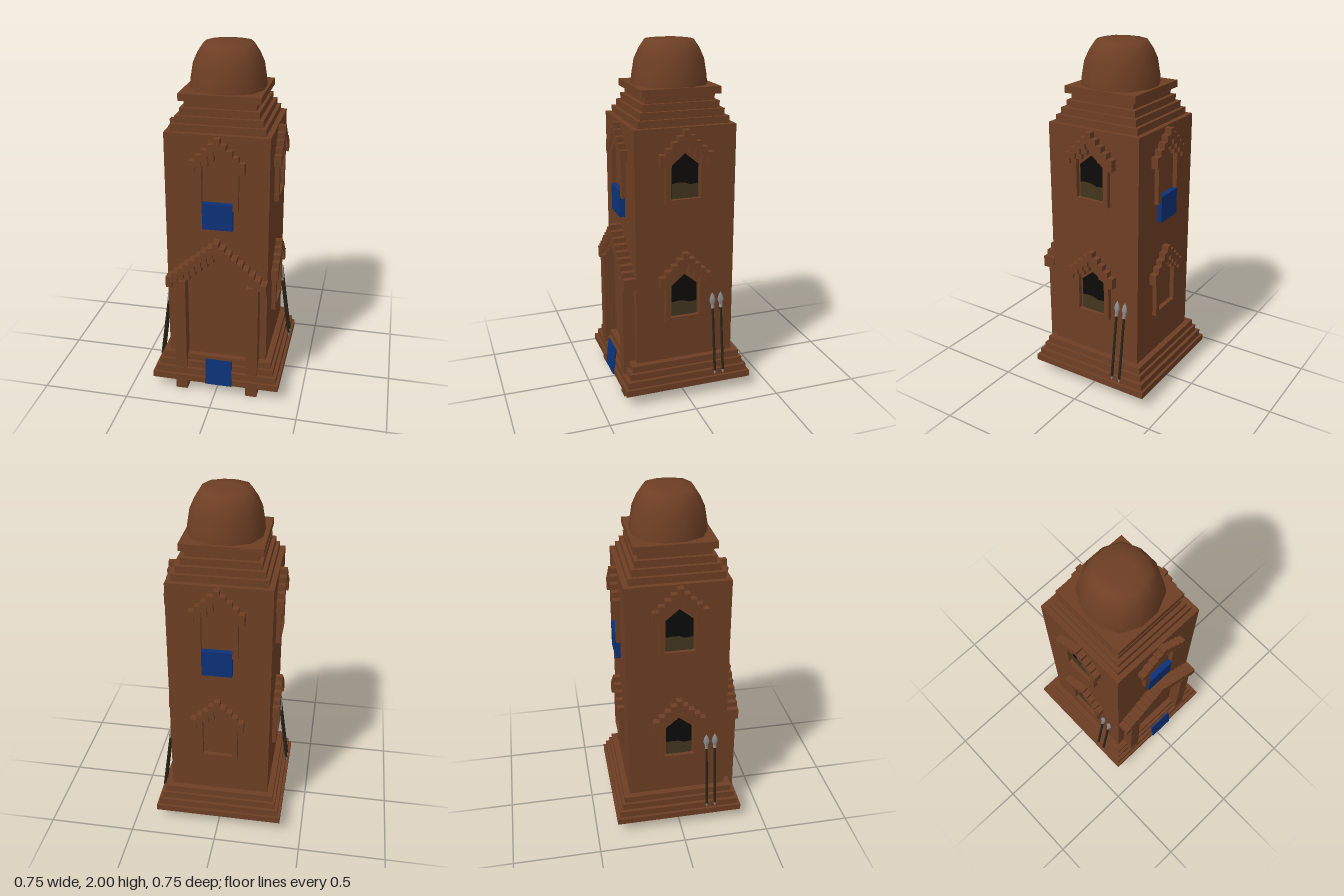
import * as THREE from 'three';

const mat = (name, color) => {
  const m = new THREE.MeshStandardMaterial({ color });
  m.name = name;
  return m;
};

export function createModel() {
  const clay = mat('clay', 0x6e3f24);
  const blue = mat('blue cloth', 0x0d3278);
  const dark = mat('dark opening', 0x0d0c0b);
  const olive = mat('olive', 0x43361f);
  const steel = mat('steel', 0x8c8c8c);
  const wood = mat('dark wood', 0x2a2418);

  const root = new THREE.Group();
  root.name = 'tower';
  const CZ = -0.006; // centre of the tower in z

  const mesh = (parent, name, geo, m) => {
    const o = new THREE.Mesh(geo, m);
    o.name = name;
    parent.add(o);
    return o;
  };
  // box given by its limits
  const box = (parent, name, m, x0, x1, y0, y1, z0, z1) => {
    const o = mesh(parent, name, new THREE.BoxGeometry(x1 - x0, y1 - y0, z1 - z0), m);
    o.position.set((x0 + x1) / 2, (y0 + y1) / 2, (z0 + z1) / 2);
    return o;
  };
  const slab = (name, half, y0, y1) =>
    box(root, name, clay, -half, half, y0, y1, CZ - half, CZ + half);
  const group = (name) => {
    const g = new THREE.Group();
    g.name = name;
    root.add(g);
    return g;
  };
  // stepped gable made of narrow blocks
  const gable = (parent, name, n, top, step, h, depth, z0 = -0.005) => {
    const w = 0.0335;
    for (let i = -n; i <= n; i++) {
      const y = top - step * Math.abs(i);
      box(parent, name, clay, (i - 0.5) * w, (i + 0.5) * w, y - h, y, z0, depth);
    }
  };

  // hollow plinth rim with stepped base above it
  const R = 0.373, T = 0.018;
  for (const s of [-1, 1]) {
    const a = s * R, b = s * (R - T);
    box(root, 'plinthRim', clay, Math.min(a, b), Math.max(a, b), 0.07, 0.107, CZ - R, CZ + R);
    box(root, 'plinthRim', clay, -R + T, R - T, 0.07, 0.107, CZ + Math.min(a, b), CZ + Math.max(a, b));
  }
  [0.357, 0.337, 0.321].forEach((half, i) =>
    slab('baseStep', half, 0.107 + i * 0.039, 0.146 + i * 0.039));

  // main shaft, roof tiers and cornice
  slab('towerBody', 0.286, 0.2, 1.567);
  [0.257, 0.237, 0.216, 0.195, 0.222].forEach((half, i) =>
    slab(i < 4 ? 'roofTier' : 'cornice', half, 1.567 + i * 0.0386, 1.567 + (i + 1) * 0.0386));

  // twelve sided dome, a little squared towards the corners
  const profile = [[0.21, 1.76], [0.207, 1.8], [0.192, 1.89], [0.167, 1.945], [0.135, 1.993], [0.07, 2], [0, 2]];
  const domeGeo = new THREE.LatheGeometry(profile.map(([r, y]) => new THREE.Vector2(r, y)), 12);
  domeGeo.rotateY(Math.PI / 12);
  const p = domeGeo.attributes.position;
  for (let i = 0; i < p.count; i++) {
    const x = p.getX(i), z = p.getZ(i), r2 = x * x + z * z;
    const corner = r2 > 1e-6 && Math.abs(2 * x * z) / r2 > 0.9;
    if (corner) p.setXYZ(i, x * 1.05, p.getY(i), z * 1.05);
  }
  mesh(root, 'dome', domeGeo, clay).position.set(0.006, 0, CZ);

  // window facing +z with its wall at z = 0 and its foot at y = 0
  const plate = (parent, name, m, pts, z) => {
    const s = new THREE.Shape(pts.map(([x, y]) => new THREE.Vector2(x, y)));
    mesh(parent, name, new THREE.ShapeGeometry(s), m).position.z = z;
  };
  const addWindow = (name, y, turn, open, banner) => {
    const g = group(name);
    gable(g, 'windowHood', 4, 0.405, 0.0318, 0.064, 0.04);
    gable(g, 'innerArch', 3, 0.342, 0.0318, 0.034, 0.026);
    for (const s of [-1, 1]) {
      box(g, 'windowJamb', clay, s * 0.1 - 0.015, s * 0.1 + 0.015, 0, 0.235, -0.005, 0.026);
    }
    box(g, 'windowSill', clay, -0.085, 0.085, 0, 0.025, -0.005, 0.026);
    if (open) {
      plate(g, 'opening', dark, [[-0.075, 0.025], [0.075, 0.025], [0.075, 0.21], [0, 0.272], [-0.075, 0.21]], 0.003);
      plate(g, 'openingFloor', olive,
        [[-0.075, 0.025], [0.075, 0.025], [0.075, 0.105], [0.03, 0.1], [0, 0.112], [-0.04, 0.115], [-0.075, 0.11]], 0.005);
    }
    if (banner) box(g, 'banner', blue, -0.084, 0.084, -0.115, 0.037, 0, 0.03);
    g.rotation.y = turn;
    const d = 0.286;
    g.position.set(Math.sin(turn) * d, y, CZ + Math.cos(turn) * d);
    if (Math.abs(Math.cos(turn)) > 0.5) g.position.x = 0.008;
    else g.position.z = 0;
  };
  const UP = 1.155, LOW = 0.465, Q = Math.PI / 2;
  addWindow('frontUpperWindow', UP, 0, false, true);
  addWindow('backUpperWindow', UP, Math.PI, false, true);
  addWindow('backLowerWindow', LOW, Math.PI, false, false);
  for (const s of [-1, 1]) {
    addWindow('sideUpperWindow', UP, s * Q, true, false);
    addWindow('sideLowerWindow', LOW, s * Q, true, false);
  }

  // porch: posts reaching the ground and a stepped gable
  const porch = group('porch');
  porch.position.set(0.004, 0, 0.279);
  gable(porch, 'porchGable', 8, 0.973, 0.0287, 0.064, 0.071);
  gable(porch, 'porchInnerArch', 6, 0.91, 0.0287, 0.04, 0.05);
  for (const s of [-1, 1]) {
    box(porch, 'porchPost', clay, s * 0.208 - 0.034, s * 0.208 + 0.034, 0, 0.72, -0.009, 0.068);
  }

  // sloping carpet over the entrance steps
  const carpet = mesh(root, 'carpet', new THREE.BoxGeometry(0.155, 0.16, 0.008), blue);
  carpet.position.set(0.023, 0.15, 0.362);
  carpet.rotation.x = -Math.atan2(0.018, 0.16);

  // leaning spears, a pair on each side wall
  const addSpear = (s, z) => {
    const g = group('spear');
    const shaft = mesh(g, 'spearShaft', new THREE.CylinderGeometry(0.007, 0.008, 0.4, 8), wood);
    shaft.position.y = 0.215;
    const collar = mesh(g, 'spearCollar', new THREE.CylinderGeometry(0.01, 0.01, 0.02, 8), steel);
    collar.position.y = 0.405;
    const head = mesh(g, 'spearHead', new THREE.LatheGeometry(
      [[0, 0.4], [0.008, 0.41], [0.019, 0.442], [0.012, 0.468], [0, 0.488]].map(([r, y]) => new THREE.Vector2(r, y)), 6), steel);
    head.scale.x = 0.55;
    const butt = mesh(g, 'spearButt', new THREE.CylinderGeometry(0.009, 0.004, 0.02, 8), steel);
    butt.position.y = 0.008;
    g.position.set(s * 0.361, 0.12, z);
    g.rotation.z = s * Math.atan2(0.064, 0.48);
  };
  for (const z of [-0.217, -0.167]) {
    addSpear(1, z);
    addSpear(-1, -z - 0.006);
  }
  return root;
}
